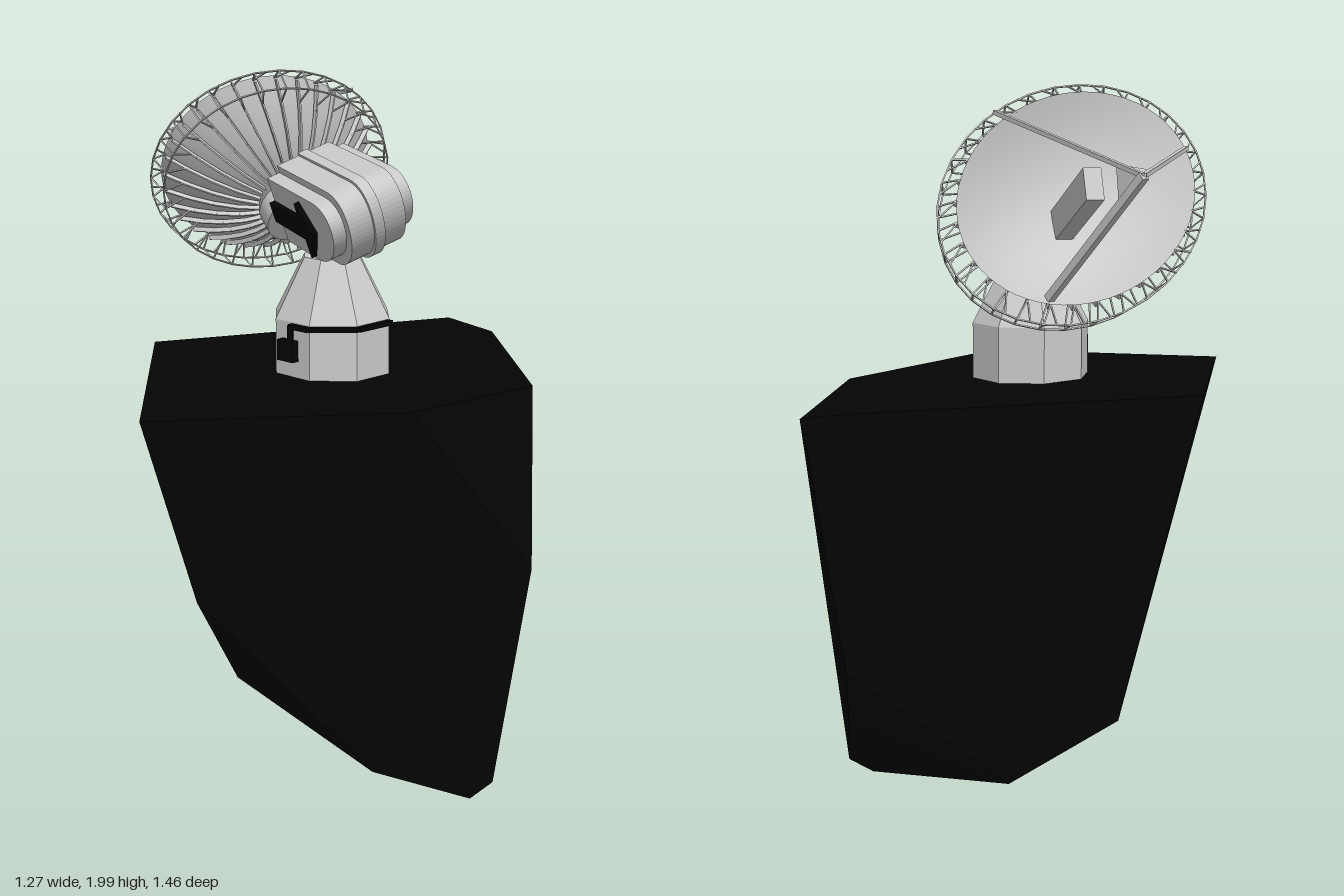
import * as THREE from 'three';
import { ConvexGeometry } from 'three/addons/geometries/ConvexGeometry.js';
import { mergeGeometries } from 'three/addons/utils/BufferGeometryUtils.js';

const V = (x, y, z) => new THREE.Vector3(x, y, z);
const grey = new THREE.MeshStandardMaterial({ color: 0xcccccc });
const greyFlat = new THREE.MeshStandardMaterial({ color: 0xcccccc, flatShading: true });
const greyThin = new THREE.MeshStandardMaterial({ color: 0xcccccc, side: THREE.DoubleSide });
const black = new THREE.MeshStandardMaterial({ color: 0x040404, flatShading: true });

function add(parent, name, geometry, material) {
  const mesh = new THREE.Mesh(geometry, material);
  mesh.name = name;
  parent.add(mesh);
  return mesh;
}

// Rectangular bar from a to b
function bar(a, b, w, h = w) {
  const dir = b.clone().sub(a);
  const g = new THREE.BoxGeometry(w, h, dir.length());
  const m = new THREE.Matrix4().lookAt(b, a, Math.abs(dir.y) > 0.95 * dir.length() ? V(1, 0, 0) : V(0, 1, 0));
  return g.applyMatrix4(m.setPosition(a.clone().add(b).multiplyScalar(0.5)));
}

function buildRock(root) {
  const corners = [
    [-0.62, 1.145, -0.06], [-0.35, 1.13, 0.73], [0.32, 1.14, 0.48], [0.55, 1.1, -0.03],
    [0.3, 1.1, -0.67], [0.24, 1.04, -0.73], [0.15, 1.13, -0.7], [0.63, 0.69, 0.36],
    [-0.22, 0.62, 0.68], [0.14, 0.42, -0.71], [0.18, 0.26, -0.64], [-0.46, 0.24, -0.25],
    [-0.25, 0.23, 0.28], [-0.22, 0.08, -0.45], [0.22, 0.09, 0.49], [0.54, 0.05, 0.38],
    [0.48, 0, 0.4], [0.29, 0.07, -0.47], [0.26, 0.01, -0.39],
  ];
  add(root, 'rock', new ConvexGeometry(corners.map((c) => V(...c))), black);
}

function buildTower(root) {
  const tower = new THREE.Group();
  tower.name = 'tower';
  tower.position.set(-0.018, 0, 0.075);
  root.add(tower);
  const turn = -5 * Math.PI / 180;
  const drum = (name, top, bottom, y0, y1) => {
    const mesh = add(tower, name, new THREE.CylinderGeometry(top, bottom, y1 - y0, 8), greyFlat);
    mesh.position.y = (y0 + y1) / 2;
    mesh.rotation.y = turn;
  };
  drum('towerBase', 0.174, 0.174, 1.12, 1.3);
  drum('towerTaper', 0.085, 0.174, 1.3, 1.47);
  drum('towerNeck', 0.055, 0.065, 1.47, 1.56);

  // Rail wrapping the front facets, with a hanging box
  const at = (deg, r) => V(r * Math.sin(deg * Math.PI / 180), 1.29, r * Math.cos(deg * Math.PI / 180));
  const path = [at(-28, 0.168), at(-5, 0.18), at(40, 0.18), at(83, 0.18)];
  const rails = path.slice(1).map((p, i) => bar(path[i], p, 0.02, 0.014));
  add(tower, 'rail', mergeGeometries(rails), black);
  add(tower, 'boxHanger', new THREE.BoxGeometry(0.014, 0.08, 0.014), black).position.set(-0.075, 1.255, 0.16);
  const box = add(tower, 'controlBox', new THREE.BoxGeometry(0.06, 0.06, 0.03), black);
  box.position.set(-0.085, 1.22, 0.147);
  box.rotation.y = -0.47;
}

// Housing slab: square at the dish end, with a far end that sweeps back under
function housing(x0, x1, h, depth) {
  const s = new THREE.Shape();
  s.moveTo(x0, -h);
  s.lineTo(x1 - 0.2, -h);
  s.bezierCurveTo(x1 - 0.03, -h, x1 + 0.06, h, x1 - 0.1, h);
  s.lineTo(x0, h);
  s.closePath();
  return new THREE.ExtrudeGeometry(s, { depth, bevelEnabled: false, curveSegments: 24 }).translate(0, 0, -depth / 2);
}

function buildHousing(root) {
  const body = new THREE.Group();
  body.name = 'housing';
  const u = V(0.65, -0.08, 0.75).normalize();
  const side = V(-0.68, -0.35, 0.62);
  side.addScaledVector(u, -side.dot(u)).normalize();
  const v = side.clone().cross(u);
  body.applyMatrix4(new THREE.Matrix4().makeBasis(u, v, side).setPosition(0.02, 1.62, 0.12));
  root.add(body);
  add(body, 'housingSides', housing(-0.17, 0.24, 0.1, 0.25), grey);
  add(body, 'housingCore', housing(-0.17, 0.27, 0.122, 0.17), grey);
  add(body, 'housingFlange', housing(-0.17, 0.28, 0.13, 0.03), grey);

  // Dark bracket on the side
  const s = new THREE.Shape();
  [[-0.17, -0.03], [0.04, -0.03], [0.04, -0.09], [0.11, 0], [0.04, 0.08], [0.04, 0.03], [-0.17, 0.03]]
    .forEach(([x, y], i) => (i ? s.lineTo(x, y) : s.moveTo(x, y)));
  const bracket = add(body, 'sideBracket', new THREE.ExtrudeGeometry(s, { depth: 0.02, bevelEnabled: false }), black);
  bracket.position.z = 0.122;
}

function buildDish(root) {
  const dish = new THREE.Group();
  dish.name = 'dish';
  const n = V(-0.6, 0.59, -0.54).normalize();
  const d = V(-0.3, 0.54, 0.79);
  d.addScaledVector(n, -d.dot(n)).normalize();
  const s = n.clone().cross(d);
  dish.applyMatrix4(new THREE.Matrix4().makeBasis(s, n, d).setPosition(-0.287, 1.69, -0.165));
  root.add(dish);

  // Oval bowl: A and B are its half lengths
  const A = 0.4, B = 0.3, DEPTH = 0.16;
  const pt = (r, t, y) => V(B * r * Math.sin(t), y, A * r * Math.cos(t));
  const bowl = (r) => DEPTH * (r * r - 1);
  const profile = [];
  for (let i = 0; i <= 14; i++) profile.push(new THREE.Vector2(Math.max(i / 14, 0.001), bowl(i / 14)));
  const shell = new THREE.LatheGeometry(profile, 64).scale(B, 1, A);
  shell.computeVertexNormals();
  add(dish, 'reflector', shell, greyThin);

  // Radial ribs behind the bowl, and the wire cage round the rim
  const N = 32, ribs = [], wires = [], radii = [0.3, 0.48, 0.66, 0.83, 1];
  for (let i = 0; i < N; i++) {
    const t = (i / N) * Math.PI * 2, t1 = ((i + 1) / N) * Math.PI * 2, tm = (t + t1) / 2;
    const rib = radii.map((r) => pt(r, t, bowl(r) - 0.018));
    for (let k = 0; k < 4; k++) ribs.push(bar(rib[k], rib[k + 1], 0.005, 0.014));
    const w = 0.004;
    wires.push(
      bar(pt(1.13, t, -0.03), pt(1.13, t1, -0.03), w),
      bar(pt(1.08, t, -0.085), pt(1.08, t1, -0.085), w),
      bar(pt(0.99, t, -0.005), pt(1.13, tm, -0.03), w),
      bar(pt(0.99, t, -0.005), pt(1.13, t, -0.03), w),
      bar(pt(1.13, t, -0.03), pt(1.08, t, -0.085), w),
      bar(pt(1.08, t, -0.085), pt(0.84, t, bowl(0.84) - 0.01), w),
    );
  }
  add(dish, 'ribs', mergeGeometries(ribs), grey);
  add(dish, 'rimCage', mergeGeometries(wires), grey);
  const hub = add(dish, 'hub', new THREE.CylinderGeometry(0.1, 0.1, 0.06, 24), grey);
  hub.position.y = -DEPTH - 0.035;
}

function buildFeed(root) {
  const feed = new THREE.Group();
  feed.name = 'feed';
  root.add(feed);
  const apex = V(-0.63, 1.765, -0.51);
  // Tripod legs and the plates where they meet
  const feet = [V(-0.48, 1.81, 0.13), V(-0.03, 1.91, -0.17), V(-0.31, 1.43, -0.39)];
  feet.forEach((p, i) => add(feed, 'feedLeg', bar(apex, p, i === 2 ? 0.022 : 0.012), grey));
  const near = feet.map((p) => apex.clone().lerp(p, 0.12 / apex.distanceTo(p)));
  for (const [i, j] of [[0, 2], [1, 2], [0, 1]]) {
    const g = new THREE.BufferGeometry().setFromPoints([apex, near[i], near[j]]);
    g.computeVertexNormals();
    add(feed, 'feedPlate', g, greyThin);
  }
  // Horn column rising from the bowl
  add(feed, 'feedHorn', bar(V(-0.15, 1.57, -0.03), V(-0.4, 1.73, -0.31), 0.05, 0.09), grey);
}

export function createModel() {
  const root = new THREE.Group();
  root.name = 'dishOnRock';
  buildRock(root);
  buildTower(root);
  buildHousing(root);
  buildDish(root);
  buildFeed(root);
  return root;
}
